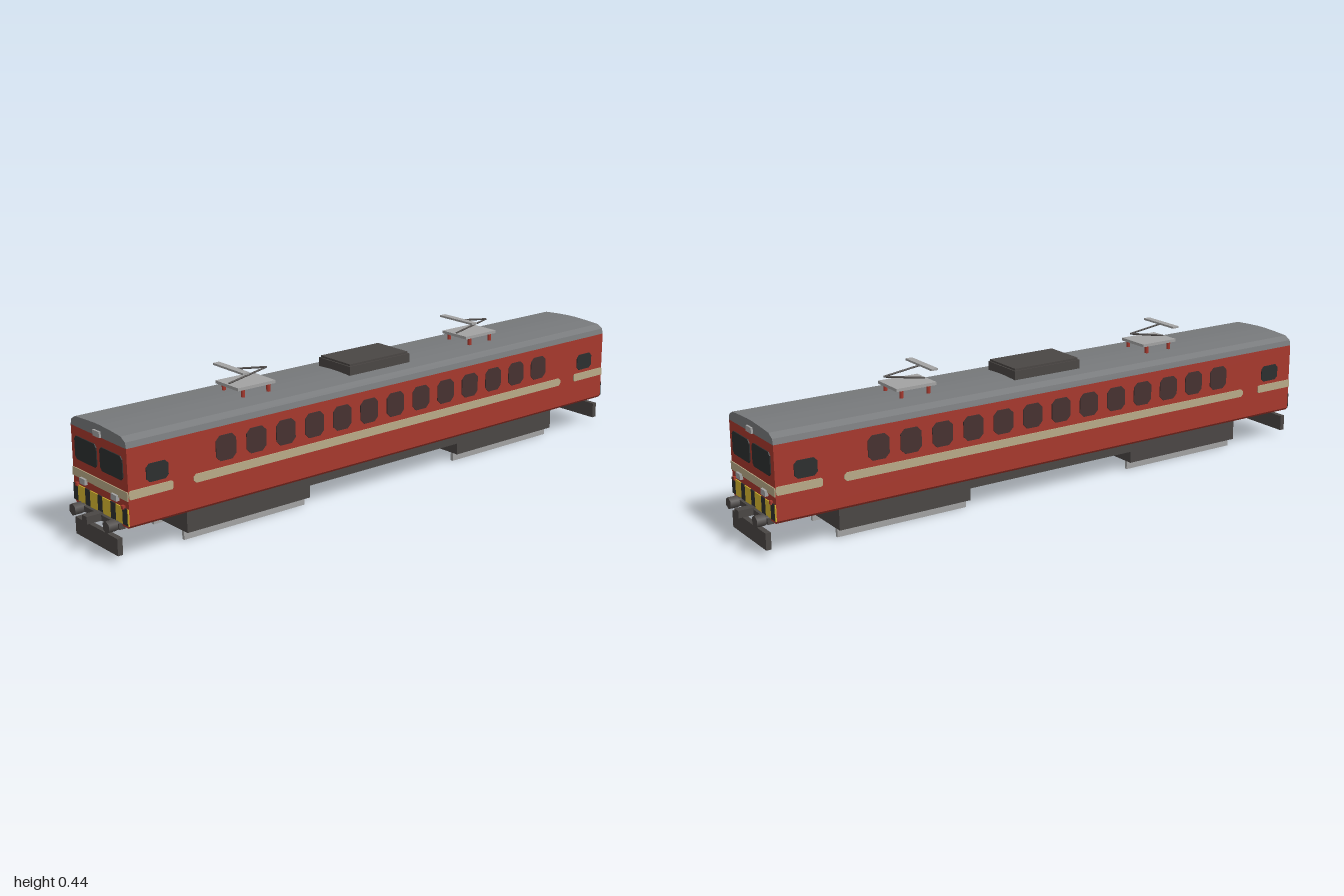
import * as THREE from 'three';

const mat = (name, color, side = THREE.FrontSide) => {
  const m = new THREE.MeshStandardMaterial({ color, side });
  m.name = name;
  return m;
};

export function createModel() {
  const M = {
    red: mat('red paint', 0xa6382d),
    roof: mat('roof grey', 0x77797b),
    cream: mat('cream stripe', 0xb8aa87),
    yellow: mat('warning yellow', 0xd6b62f),
    glass: mat('dark glass', 0x2c2f2f),
    tinted: mat('tinted side glass', 0x463130),
    frame: mat('frame dark grey', 0x4a4644),
    metal: mat('light metal', 0xa2a2a2),
  };
  const model = new THREE.Group();
  model.name = 'railcar';

  const add = (parent, name, geo, material, x = 0, y = 0, z = 0) => {
    const mesh = new THREE.Mesh(geo, material);
    mesh.name = name;
    mesh.position.set(x, y, z);
    parent.add(mesh);
    return mesh;
  };
  // box given by its lower and upper corners
  const box = (parent, name, material, x0, x1, y0, y1, z0, z1) =>
    add(parent, name, new THREE.BoxGeometry(x1 - x0, y1 - y0, z1 - z0), material,
      (x0 + x1) / 2, (y0 + y1) / 2, (z0 + z1) / 2);
  // mirrored cross-section (right half, bottom to top) run along z
  const hull = (name, half, length, material) => {
    const pts = [...half, ...half.slice().reverse().map(([x, y]) => [-x, y])];
    const shape = new THREE.Shape(pts.map(([x, y]) => new THREE.Vector2(x, y)));
    const geo = new THREE.ExtrudeGeometry(shape, { depth: length, bevelEnabled: false });
    return add(model, name, geo.translate(0, 0, -length / 2), material);
  };
  // thin pane with cut corners, facing +z
  const pane = (w, h, c) => {
    const a = w / 2, b = h / 2;
    const pts = [[a - c, -b], [a, c - b], [a, b - c], [a - c, b],
      [c - a, b], [-a, b - c], [-a, c - b], [c - a, -b]];
    const shape = new THREE.Shape(pts.map(([x, y]) => new THREE.Vector2(x, y)));
    return new THREE.ExtrudeGeometry(shape, { depth: 0.003, bevelEnabled: false });
  };
  // straight rod between two points
  const rod = (parent, name, p, q, r, material) => {
    const a = new THREE.Vector3(...p), b = new THREE.Vector3(...q);
    const d = b.clone().sub(a);
    const mesh = add(parent, name, new THREE.CylinderGeometry(r, r, d.length(), 6), material);
    mesh.position.copy(a).add(b).multiplyScalar(0.5);
    mesh.quaternion.setFromUnitVectors(new THREE.Vector3(0, 1, 0), d.normalize());
  };

  // body and roof
  const L = 1.89, E = L / 2, W = 0.143;
  hull('body', [[0.136, 0.104], [W, 0.112], [W, 0.33]], L, M.red);
  hull('roof', [[W, 0.33], [0.139, 0.347], [0.118, 0.359], [0.06, 0.363], [0.015, 0.365]], L, M.roof);

  // sides: windows and stripes
  for (const s of [1, -1]) {
    const sidePane = (name, w, h, c, material, y, z) => {
      const p = add(model, name, pane(w, h, c), material, s * W, y, z);
      p.rotation.y = s * Math.PI / 2;
    };
    for (let i = 0; i < 13; i++) {
      sidePane('sideWindow', 0.068, 0.074, 0.014, M.tinted, 0.267, (i - 6) * 0.1045);
    }
    sidePane('sideStripe', 1.475, 0.025, 0.008, M.cream, 0.199, 0);
    for (const e of [1, -1]) {
      sidePane('cabSideWindow', 0.07, 0.052, 0.01, M.glass, 0.249, e * 0.853);
      sidePane('cabSideStripe', 0.14, 0.025, 0.004, M.cream, 0.199, e * 0.874);
    }
  }

  // both ends, the rear one turned round
  for (const turn of [0, Math.PI]) {
    const end = new THREE.Group();
    end.name = turn ? 'rearEnd' : 'frontEnd';
    end.rotation.y = turn;
    model.add(end);

    box(end, 'endStripe', M.cream, -W, W, 0.183, 0.208, E, E + 0.003);
    const edges = [-W, -0.119, -0.08, -0.054, -0.014, 0.011, 0.053, 0.079, 0.113, 0.138, W];
    for (let i = 0; i < edges.length - 1; i++) {
      box(end, 'warningStripe', i % 2 ? M.yellow : M.glass,
        edges[i], edges[i + 1], 0.112, 0.16, E, E + 0.003);
    }
    box(end, 'topLamp', M.metal, -0.017, 0.017, 0.33, 0.347, E - 0.005, E + 0.006);
    for (const s of [1, -1]) {
      add(end, 'windscreen', pane(0.114, 0.068, 0.009), M.glass, s * 0.066, 0.27, E);
      box(end, 'headlamp', M.metal, s * 0.082 - 0.014, s * 0.082 + 0.014, 0.172, 0.189, E, E + 0.01);
      box(end, 'tailLamp', M.red, s * 0.12 - 0.005, s * 0.12 + 0.005, 0.157, 0.167, E, E + 0.008);
      // buffer: thin shank and six-sided head
      rod(end, 'bufferShank', [s * 0.088, 0.104, E - 0.01], [s * 0.088, 0.104, 0.97], 0.011, M.frame);
      rod(end, 'bufferHead', [s * 0.088, 0.104, 0.958], [s * 0.088, 0.104, 0.986], 0.018, M.frame);
    }
    box(end, 'coupler', M.frame, -0.013, 0.013, 0.093, 0.115, E - 0.02, 1);
    box(end, 'bufferBeam', M.frame, -0.105, 0.105, 0.093, 0.11, E - 0.01, E + 0.01);
    box(end, 'snowPlough', M.frame, -0.11, 0.11, 0.022, 0.072, 0.95, 0.966);
  }

  // underframe, bogies and wheel rails
  box(model, 'underframe', M.frame, -0.105, 0.105, 0.065, 0.095, -0.31, 0.31);
  box(model, 'underframeMount', M.frame, -0.09, 0.09, 0.094, 0.105, -0.42, 0.42);
  for (const e of [1, -1]) {
    const z = e * 0.52;
    box(model, 'bogie', M.frame, -0.105, 0.105, 0.028, 0.095, z - 0.218, z + 0.218);
    box(model, 'bogieMount', M.frame, -0.05, 0.05, 0.094, 0.105, z - 0.1, z + 0.1);
    for (const s of [1, -1]) {
      box(model, 'wheelRail', M.metal, s * 0.078 - 0.005, s * 0.078 + 0.005, 0, 0.029, z - 0.215, z + 0.215);
    }
  }

  // roof equipment box
  box(model, 'roofUnit', M.frame, -0.073, 0.073, 0.362, 0.39, -0.12, 0.12);
  box(model, 'roofUnitLid', M.frame, -0.069, 0.069, 0.39, 0.396, -0.116, 0.116);

  // pantographs, both facing the same way
  for (const z of [0.45, -0.45]) {
    const panto = new THREE.Group();
    panto.name = 'pantograph';
    panto.position.z = z;
    model.add(panto);
    box(panto, 'pantographBase', M.metal, -0.055, 0.055, 0.386, 0.395, -0.065, 0.068);
    for (const x of [-0.047, 0.047]) for (const dz of [-0.045, 0.045]) {
      add(panto, 'insulator', new THREE.CylinderGeometry(0.006, 0.006, 0.026, 8), M.red, x, 0.374, dz);
    }
    rod(panto, 'lowerArm', [0, 0.396, 0.06], [0, 0.421, -0.075], 0.003, M.frame);
    rod(panto, 'upperArm', [0, 0.421, -0.075], [0, 0.438, 0.055], 0.003, M.frame);
    box(panto, 'contactBar', M.metal, -0.074, 0.074, 0.436, 0.442, 0.04, 0.062);
  }

  return model;
}
